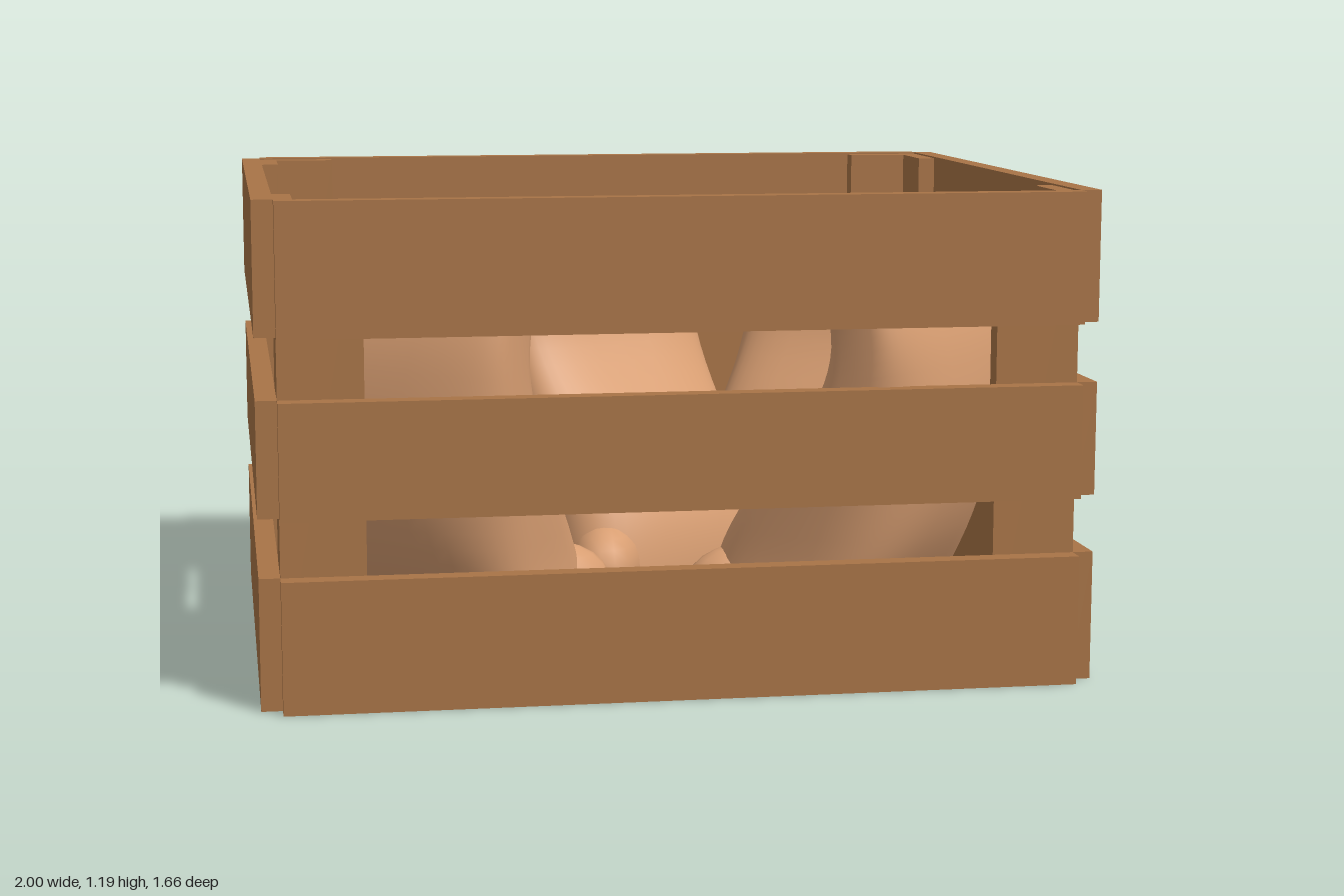
import * as THREE from 'three';

const mat = (name, color, side = THREE.FrontSide) => {
  const m = new THREE.MeshStandardMaterial({ color, side });
  m.name = name;
  return m;
};

// Surface of rounded-rectangle loops; each section is a Vector3(halfWidth, height, halfDepth).
// The base is shifted inward by lean, the shoulder bulges outward and the mouth tips inward.
function loft(sections, lean, bulge, wobble) {
  const N = 48, pos = [], idx = [];
  sections.forEach((s) => {
    const h = THREE.MathUtils.clamp(s.y, 0, 1);
    const e = 2 / (5 - 2.2 * Math.sin(Math.PI * h)); // boxy ends, rounder middle
    const shift = bulge * Math.sin(Math.PI * h * h) - lean * (1 - h);
    for (let j = 0; j < N; j++) {
      const t = (j / N) * Math.PI * 2, c = Math.cos(t), n = Math.sin(t);
      const sag = 1 + 0.025 * Math.sin(3 * t + wobble + 4 * h) * Math.sin(Math.PI * h);
      const x = s.x * Math.sign(c) * Math.abs(c) ** e * sag;
      const z = s.z * Math.sign(n) * Math.abs(n) ** e * sag;
      pos.push(x, s.y + 0.6 * z * h ** 4, z + shift);
    }
  });
  for (let i = 0; i < sections.length - 1; i++) {
    for (let j = 0; j < N; j++) {
      const a = i * N + j, b = i * N + ((j + 1) % N);
      idx.push(a, a + N, b, b, a + N, b + N);
    }
  }
  const g = new THREE.BufferGeometry();
  g.setAttribute('position', new THREE.Float32BufferAttribute(pos, 3));
  g.setIndex(idx);
  g.computeVertexNormals();
  return g;
}

export function createModel() {
  const model = new THREE.Group();
  model.name = 'crateOfSacks';
  const wood = mat('wood', 0xa87447);
  const sackCloth = mat('sackCloth', 0xd89e72, THREE.DoubleSide);
  const flour = mat('flour', 0xe8ecec);

  const crate = new THREE.Group();
  crate.name = 'crate';
  model.add(crate);
  // Box given by its minimum and maximum corners
  const board = (name, x0, x1, y0, y1, z0, z1) => {
    const m = new THREE.Mesh(new THREE.BoxGeometry(x1 - x0, y1 - y0, z1 - z0), wood);
    m.position.set((x0 + x1) / 2, (y0 + y1) / 2, (z0 + z1) / 2);
    m.name = name;
    crate.add(m);
  };

  // Three rings of slats
  const zb = -0.765, zf = 0.78;
  for (const [y0, y1] of [[0, 0.315], [0.455, 0.73], [0.875, 1.19]]) {
    board('frontSlat', -0.95, 0.95, y0, y1, zf, 0.83);
    board('backSlat', -0.95, 0.95, y0, y1, -0.815, zb);
    board('leftSlat', 0.95, 1, y0, y1, zb, zf);
    board('rightSlat', -1, -0.95, y0, y1, zb, zf);
  }
  board('floor', -0.95, 0.95, 0, 0.05, zb, zf);

  // L-shaped corner posts
  for (const s of [-1, 1]) {
    const span = (a, b) => (s > 0 ? [a, b] : [-b, -a]);
    board('frontPost', ...span(0.75, 0.95), 0.05, 1.186, 0.73, zf);
    board('backPost', ...span(0.75, 0.95), 0.05, 1.186, zb, -0.715);
    board('frontSidePost', ...span(0.905, 0.95), 0.05, 1.186, 0.555, 0.73);
    board('backSidePost', ...span(0.905, 0.95), 0.05, 1.186, -0.715, -0.54);
  }

  // Sack profile from the base, over the rolled rim, to the inside of the mouth
  const V = (w, y, d) => new THREE.Vector3(w, y, d);
  const profile = new THREE.CatmullRomCurve3([
    V(0.01, 0.05, 0.01), V(0.25, 0.04, 0.16), V(0.305, 0.09, 0.2), V(0.315, 0.3, 0.255),
    V(0.32, 0.5, 0.23), V(0.322, 0.74, 0.14), V(0.33, 0.89, 0.1), V(0.34, 0.955, 0.09),
    V(0.34, 0.99, 0.085), V(0.315, 1.012, 0.065), V(0.28, 1.0, 0.043), V(0.268, 0.95, 0.037),
  ]).getPoints(55);
  const fillRows = [V(0.276, 0.98, 0.041), V(0.15, 0.98, 0.022), V(0.001, 0.98, 0.001)];

  // Mouth centre x, z; outward direction x, z; height; lean; shoulder bulge
  const sacks = [
    [-0.58, -0.6, -0.31, -0.95, 0.99, 0.26, 0.04],
    [-0.06, -0.33, -0.5, -0.866, 1.0, 0.26, 0.08],
    [0.69, -0.5, 0.72, -0.69, 1.01, 0.28, 0.09],
    [-0.62, 0.47, -0.577, 0.816, 1.01, 0.24, 0.11],
    [0.6, 0.49, 0.73, 0.68, 1.0, 0.26, 0.11],
  ];
  sacks.forEach(([x, z, ox, oz, h, lean, bulge], i) => {
    const sack = new THREE.Group();
    sack.name = 'sack';
    const body = new THREE.Mesh(loft(profile, lean, bulge, i * 1.7), sackCloth);
    body.name = 'sackBody';
    const fill = new THREE.Mesh(loft(fillRows, lean, bulge, 0), flour);
    fill.name = 'flourFill';
    sack.add(body, fill);
    // Folded corners at the inner side of the base
    for (const s of [-1, 1]) {
      const ear = new THREE.Mesh(new THREE.SphereGeometry(1, 16, 12), sackCloth);
      ear.name = 'cornerFold';
      ear.scale.set(0.17, 0.12, 0.1);
      ear.position.set(s * 0.21, 0.17, -lean - 0.06);
      ear.rotation.y = s * 0.8;
      sack.add(ear);
    }
    sack.position.set(x, 0, z);
    sack.rotation.y = Math.atan2(ox, oz);
    sack.scale.y = h;
    model.add(sack);
  });

  // Fold of cloth hanging over the back of the crate
  const fold = new THREE.Mesh(new THREE.SphereGeometry(1, 20, 14), sackCloth);
  fold.name = 'hangingFold';
  fold.scale.set(0.045, 0.18, 0.075);
  fold.position.set(0.55, 0.69, -0.76);
  model.add(fold);

  return model;
}
